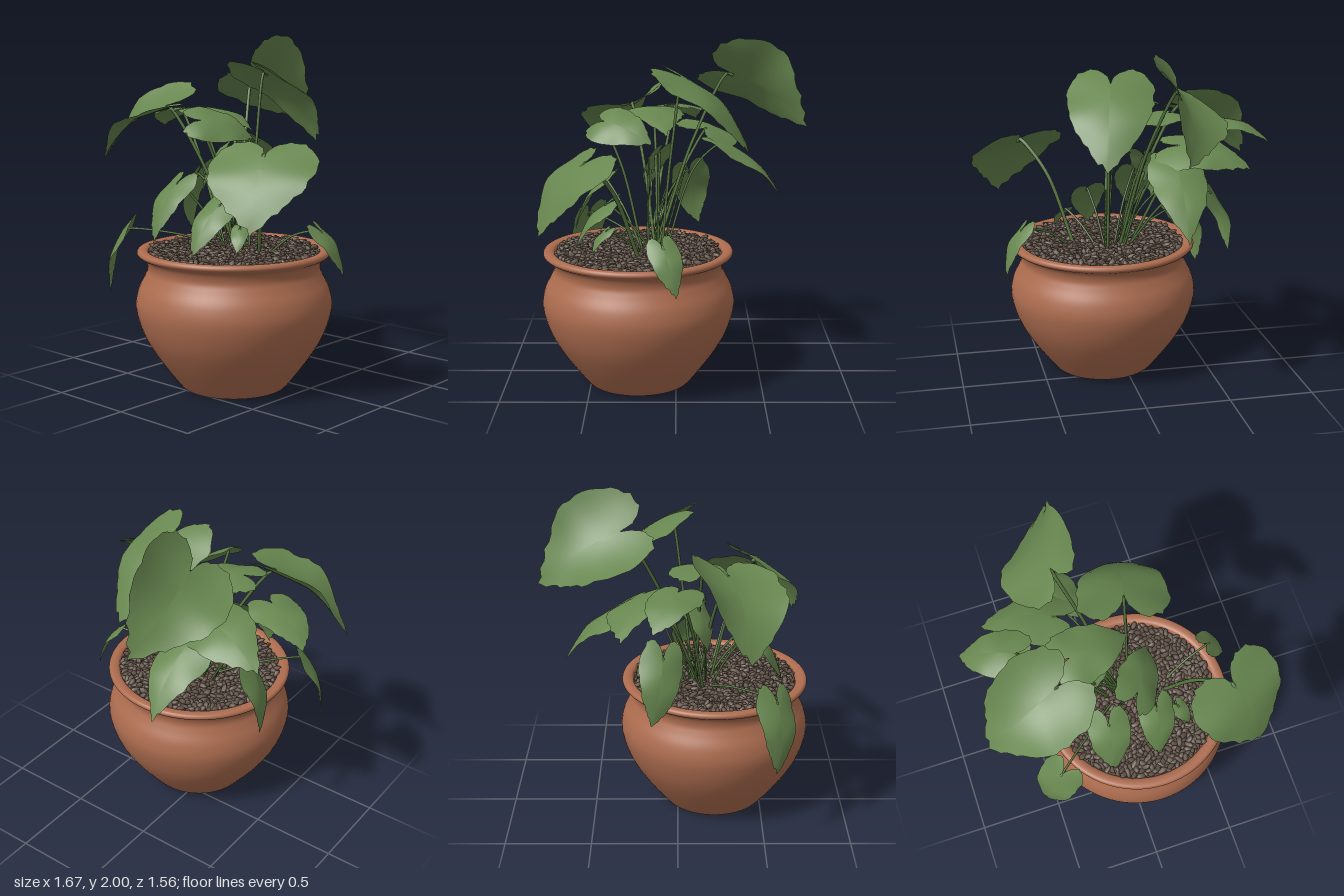
import * as THREE from 'three';
import { mergeGeometries } from 'three/addons/utils/BufferGeometryUtils.js';

const UP = new THREE.Vector3(0, 1, 0);

const mat = (name, color, side = THREE.FrontSide) => {
  const m = new THREE.MeshStandardMaterial({ color, side });
  m.name = name;
  return m;
};

// Small seeded random generator
function seeded(seed) {
  return () => {
    seed = (seed * 1664525 + 1013904223) % 4294967296;
    return seed / 4294967296;
  };
}

// Half outline of a heart-shaped blade: x along the midrib, y across
const halfOutline = new THREE.SplineCurve([[0, 0], [-0.14, 0.05], [-0.25, 0.2], [-0.21, 0.36], [-0.03, 0.48],
  [0.2, 0.5], [0.45, 0.43], [0.7, 0.28], [0.88, 0.13], [1, 0]].map(([x, y]) => new THREE.Vector2(x, y)));

// Arched, ragged blade from the stalk joint to the tip, rolled about its midrib;
// fold > 0 drops the side edges, fold < 0 cups them upwards
function leafGeometry(joint, tip, roll, ratio, fold, seed) {
  const rand = seeded(seed);
  const dir = tip.clone().sub(joint);
  const length = dir.length(), width = length * ratio;
  dir.normalize();
  const side = UP.clone().cross(dir).normalize().applyAxisAngle(dir, roll);
  const normal = dir.clone().cross(side);

  const half = halfOutline.getPoints(32);
  const mirrored = half.slice(1, -1).reverse().map((p) => new THREE.Vector2(p.x, -p.y));
  const outline = [...half, ...mirrored];
  const n = outline.length, rings = 8;
  const centre = 0.22; // rings shrink towards this point on the midrib
  const pos = [], index = [];
  for (let r = 0; r <= rings; r++) {
    const k = r / rings;
    for (const p of outline) {
      const rag = r === rings ? 1 + (rand() - 0.5) * 0.08 : 1;
      const a = centre + (p.x - centre) * k * rag;
      const b = p.y * k * rag;
      const ripple = 0.05 * Math.sin(a * 9 + seed) * Math.abs(b);
      const h = length * (0.4 * a * (1 - a) + ripple) - width * fold * b * b;
      const q = joint.clone().addScaledVector(dir, a * length)
        .addScaledVector(side, b * width).addScaledVector(normal, h);
      pos.push(q.x, q.y, q.z);
    }
  }
  for (let r = 0; r < rings; r++) {
    for (let i = 0; i < n; i++) {
      const j = (i + 1) % n;
      const a = r * n + i, b = r * n + j, c = a + n, d = b + n;
      index.push(a, d, c);
      if (r > 0) index.push(a, b, d);
    }
  }
  const g = new THREE.BufferGeometry();
  g.setAttribute('position', new THREE.Float32BufferAttribute(pos, 3));
  g.setIndex(index);
  g.computeVertexNormals();
  return g;
}

// Each leaf: joint x y z, tip x y z, roll
const CUPPED = [
  [-0.21, 1.79, -0.31, -0.16, 1.48, -0.77, -0.88],
  [-0.37, 1.59, 0.27, -0.8, 1.26, 0.38, -0.36],
];
const CROWN = [
  [-0.25, 1.45, -0.18, -0.64, 1.32, -0.3, 0.35],
  [0.11, 1.79, -0.04, 0.2, 1.37, -0.41, 0],
  [-0.53, 1.56, 0, -0.81, 1.43, -0.12, 0],
  [-0.25, 1.58, 0.13, 0.1, 1.46, 0.06, 0],
  [0.04, 1.53, 0.41, 0.18, 1.42, 0.14, 0.7],
];
const BROAD = [[0.57, 1.38, 0.49, 0.68, 1.01, 0.73, 0]];
const DROOPING = [
  [0.62, 0.93, 0.07, 0.72, 0.68, 0, 0.3],
  [-0.46, 0.88, 0.55, -0.57, 0.5, 0.55, -0.62],
  [-0.47, 1.15, -0.08, -0.57, 0.79, -0.14, -0.75],
  [-0.21, 1.37, -0.29, -0.2, 1.02, -0.64, 0],
];
const LOW = [
  [-0.13, 1.17, 0.43, -0.15, 0.86, 0.6, 0],
  [0.17, 1.07, 0.4, 0.13, 0.8, 0.58, -0.3],
  [0.31, 0.95, 0.39, 0.36, 0.83, 0.47, 0],
  [-0.12, 1.33, 0.1, -0.18, 1.07, 0.17, 0],
];

export function createModel() {
  const group = new THREE.Group();
  const terracotta = mat('terracotta', 0xac6c4f, THREE.DoubleSide);
  const leafGreen = mat('leaf green', 0x67864f, THREE.DoubleSide);
  const stemGreen = mat('stem green', 0x56753f);
  const gravelBrown = mat('gravel brown', 0x64554a);
  const add = (geometry, material, name, parent = group) => {
    const mesh = new THREE.Mesh(geometry, material);
    mesh.name = name;
    parent.add(mesh);
  };

  // Pot: base disc, bellied wall and rolled rim
  const pot = new THREE.Group();
  pot.name = 'pot';
  pot.position.set(0.11, 0, 0.22);
  group.add(pot);
  const wall = new THREE.SplineCurve([[0.29, 0], [0.315, 0.015], [0.44, 0.18], [0.52, 0.32], [0.56, 0.46],
    [0.548, 0.56], [0.51, 0.64], [0.492, 0.69], [0.505, 0.74], [0.54, 0.763], [0.552, 0.78], [0.54, 0.798],
    [0.505, 0.798], [0.485, 0.78], [0.475, 0.72]].map(([x, y]) => new THREE.Vector2(x, y)));
  add(new THREE.LatheGeometry(wall.getPoints(70), 72), terracotta, 'potWall', pot);
  add(new THREE.CircleGeometry(0.29, 72).rotateX(Math.PI / 2), terracotta, 'potBase', pot);

  // Gravel: a bed with seed-like pebbles scattered evenly over it
  const rand = seeded(7);
  add(new THREE.CircleGeometry(0.485, 48).rotateX(-Math.PI / 2).translate(0, 0.765, 0), gravelBrown, 'gravelBed', pot);
  const pebbles = [];
  const count = 1000;
  for (let i = 0; i < count; i++) {
    const r = 0.475 * Math.sqrt((i + 0.5) / count);
    const a = i * 2.39996;
    const g = new THREE.SphereGeometry(1, 6, 4);
    g.scale(0.028 + rand() * 0.01, 0.012 + rand() * 0.006, 0.015 + rand() * 0.005);
    g.rotateZ((rand() - 0.5) * 1.7).rotateX((rand() - 0.5) * 1.4).rotateY(rand() * Math.PI * 2);
    g.translate(r * Math.cos(a), 0.77 + rand() * 0.022, r * Math.sin(a));
    pebbles.push(g);
  }
  add(mergeGeometries(pebbles), gravelBrown, 'gravel', pot);

  // Leaves on arching stalks that gather near the centre
  const grow = (name, leaves, ratio, fold, arch, thickness) => leaves.forEach(([x, y, z, tx, ty, tz, roll], i) => {
    const part = new THREE.Group();
    part.name = `${name}${i + 1}`;
    group.add(part);
    const joint = new THREE.Vector3(x, y, z), tip = new THREE.Vector3(tx, ty, tz);
    add(leafGeometry(joint, tip, roll, ratio, fold, 11 + i * 37), leafGreen, 'leafBlade', part);

    const reach = x > 0.25 ? 0.4 : 0.15; // outer leaves on the left side root further out
    const root = new THREE.Vector3(0.06 + x * reach + 0.03 * Math.sin(i * 2), 0.77,
      0.12 + z * 0.12 + 0.03 * Math.cos(i * 3));
    const bend = root.clone().lerp(joint, 0.5).setY(root.y + (y - root.y) * arch);
    const path = new THREE.CatmullRomCurve3([root, bend, joint, joint.clone().lerp(tip, 0.06)]);
    add(new THREE.TubeGeometry(path, 24, thickness, 6), stemGreen, 'stalk', part);
  });
  grow('cuppedLeaf', CUPPED, 0.98, -0.6, 0.62, 0.01);
  grow('crownLeaf', CROWN, 0.88, 0.4, 0.62, 0.009);
  grow('broadLeaf', BROAD, 1.28, 0.2, 0.7, 0.012);
  grow('droopingLeaf', DROOPING, 0.65, 0.45, 0.8, 0.007);
  grow('lowLeaf', LOW, 0.68, 0.45, 0.62, 0.007);

  // Young shoots without blades
  for (let i = 0; i < 5; i++) {
    const a = i * 2.4;
    const root = new THREE.Vector3(0.06 + 0.05 * Math.cos(a), 0.77, 0.13 + 0.05 * Math.sin(a));
    const end = new THREE.Vector3(-0.04 + 0.16 * Math.cos(a), 1.15 + 0.06 * (i % 4), 0.06 + 0.12 * Math.sin(a));
    const bend = root.clone().lerp(end, 0.45).setY(1);
    add(new THREE.TubeGeometry(new THREE.CatmullRomCurve3([root, bend, end]), 12, 0.006, 5), stemGreen, 'shoot');
  }
  return group;
}
